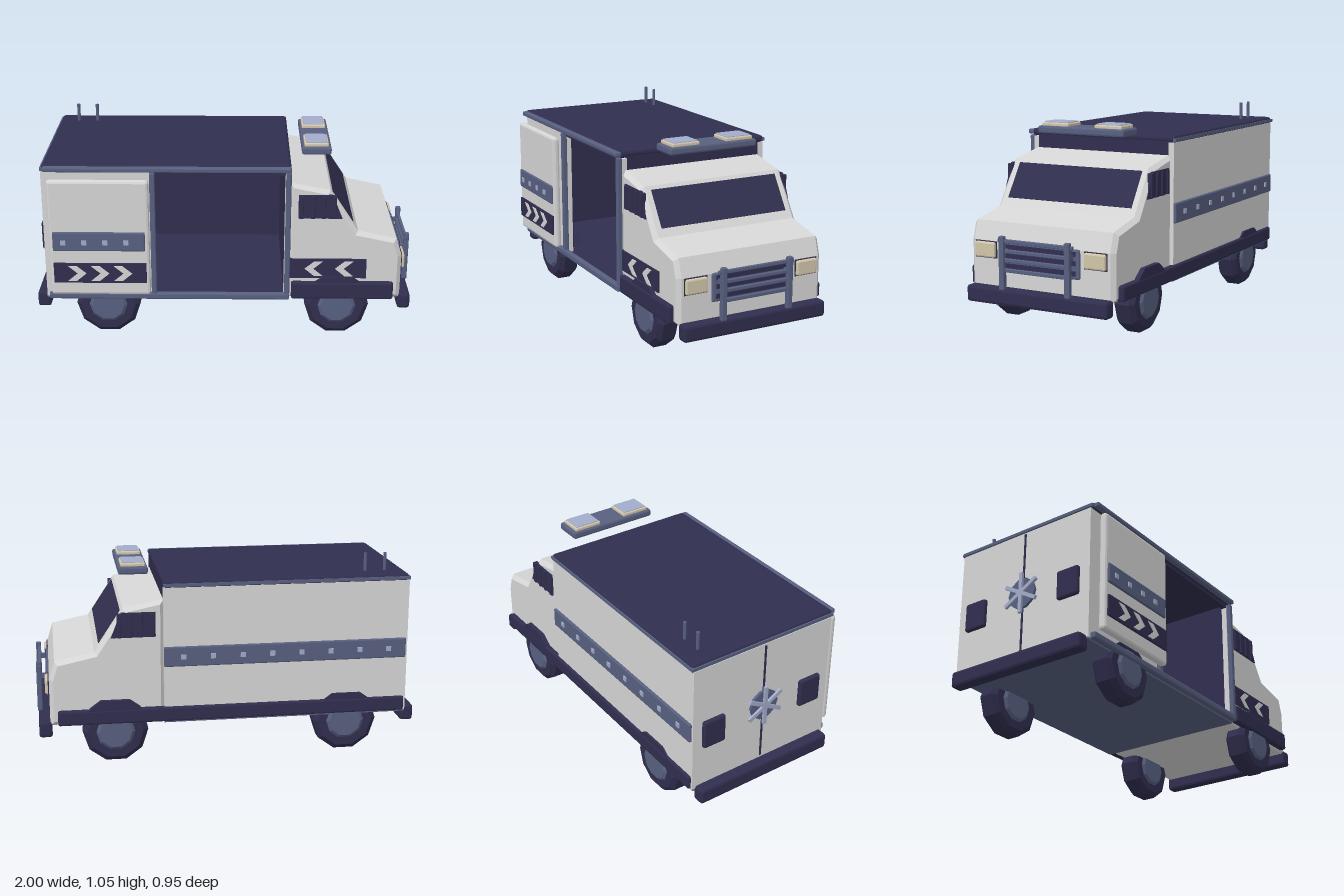
import * as THREE from 'three';
import { RoundedBoxGeometry } from 'three/addons/geometries/RoundedBoxGeometry.js';

const mat = (name, color) => Object.assign(new THREE.MeshStandardMaterial({ color }), { name });

export function createModel() {
  const van = new THREE.Group();
  van.name = 'van';
  const white = mat('white paint', 0xd6d6d6);
  const navy = mat('navy', 0x302e4e);
  const slate = mat('slate', 0x586080);
  const cream = mat('cream lamp', 0xd2c6aa);
  const blue = mat('pale blue glass', 0xa2acca);

  function add(name, geometry, material) {
    const m = new THREE.Mesh(geometry, material);
    m.name = name;
    van.add(m);
    return m;
  }
  // Box given by its extents; c is an optional chamfer
  function box(name, material, x0, x1, y0, y1, z0, z1, c = 0) {
    const s = [x1 - x0, y1 - y0, z1 - z0];
    const g = c ? new RoundedBoxGeometry(...s, 1, c) : new THREE.BoxGeometry(...s);
    if (c) g.computeVertexNormals();
    g.translate((x0 + x1) / 2, (y0 + y1) / 2, (z0 + z1) / 2);
    return add(name, g, material);
  }
  // Side outline in x,y extruded from z0 to z1
  function plate(name, material, pts, z0, z1, bevel = 0) {
    const shape = new THREE.Shape(pts.map(p => new THREE.Vector2(...p)));
    const g = new THREE.ExtrudeGeometry(shape, {
      depth: z1 - z0 - 2 * bevel, bevelEnabled: bevel > 0, bevelSize: bevel,
      bevelThickness: bevel, bevelOffset: -bevel, bevelSegments: 1,
    });
    g.translate(0, 0, z0 + bevel);
    return add(name, g, material);
  }

  // Cargo box: painted walls with a dark lining, open on the left side
  box('farWall', white, -0.945, 0.345, 0.21, 0.92, -0.455, -0.425);
  box('rearWall', white, -0.945, -0.915, 0.21, 0.92, -0.425, 0.36);
  box('nearWall', white, -0.945, -0.36, 0.21, 0.92, 0.36, 0.39);
  box('frontPost', white, 0.315, 0.345, 0.21, 0.915, 0.36, 0.39);
  box('lintel', navy, -0.36, 0.315, 0.9, 0.925, 0.36, 0.39);
  box('frontBulkhead', navy, 0.315, 0.343, 0.21, 0.93, -0.425, 0.36);
  box('cargoFloor', slate, -0.945, 0.345, 0.2, 0.212, -0.45, 0.385);
  box('floorLining', navy, -0.915, 0.315, 0.212, 0.225, -0.425, 0.385);
  box('farLining', navy, -0.915, 0.315, 0.225, 0.92, -0.425, -0.418);
  box('rearLining', navy, -0.915, -0.908, 0.225, 0.92, -0.418, 0.36);
  box('nearLining', navy, -0.908, -0.362, 0.225, 0.92, 0.353, 0.36);
  box('roof', navy, -0.94, 0.345, 0.917, 0.955, -0.46, 0.4, 0.014);
  box('roofEdge', slate, -0.945, 0.345, 0.925, 0.942, -0.466, -0.45);
  box('roofEdge', slate, -0.947, -0.93, 0.925, 0.942, -0.466, 0.4);
  box('slideRail', slate, -0.93, 0.345, 0.925, 0.95, 0.39, 0.425, 0.006);
  box('lowerRail', slate, -0.93, 0.345, 0.205, 0.24, 0.385, 0.418, 0.008);
  for (const x of [-0.385, 0.318]) box('doorJamb', slate, x, x + 0.028, 0.22, 0.92, 0.385, 0.414, 0.006);

  // Slid-back side door with stripe and chevron band
  box('slidingDoor', white, -0.91, -0.387, 0.25, 0.89, 0.418, 0.457, 0.014);
  box('doorStripe', slate, -0.89, -0.41, 0.505, 0.61, 0.45, 0.468, 0.006);
  for (let i = 0; i < 4; i++) {
    const x = -0.835 + i * 0.109;
    box('stripeLamp', blue, x - 0.013, x + 0.013, 0.542, 0.568, 0.463, 0.474);
  }
  box('doorChevronBand', navy, -0.89, -0.405, 0.325, 0.435, 0.45, 0.468);
  box('cabChevronBand', navy, 0.347, 0.75, 0.325, 0.435, 0.375, 0.394);
  function chevron(x, z, d) {
    const pts = [[0, 0.042], [0.045, 0.042], [0.095, 0], [0.045, -0.042], [0, -0.042], [0.05, 0]]
      .map(([a, b]) => [x + a * d, 0.38 + b]);
    plate('chevron', white, pts, z, z + 0.004);
  }
  for (const x of [-0.815, -0.695, -0.575]) chevron(x, 0.468, 1);
  for (const x of [0.52, 0.68]) chevron(x, 0.394, -1);

  // Stripe with lamps on the closed side
  box('sideStripe', slate, -0.935, 0.345, 0.505, 0.61, -0.469, -0.45, 0.006);
  for (let i = 0; i < 8; i++) {
    const x = -0.84 + i * 0.155;
    box('stripeLamp', blue, x - 0.013, x + 0.013, 0.545, 0.571, -0.475, -0.465);
  }

  // Cab
  plate('cab', white, [[0.34, 0.205], [0.935, 0.205], [0.935, 0.45], [0.905, 0.545],
    [0.7, 0.588], [0.55, 0.815], [0.34, 0.855]], -0.442, 0.387, 0.022);
  const screen = add('windscreen', new THREE.BoxGeometry(0.012, 0.204, 0.725), navy);
  screen.position.set(0.616, 0.71, -0.028);
  screen.rotation.z = Math.atan2(0.15, 0.227);
  for (const [z0, z1] of [[0.38, 0.393], [-0.448, -0.435]]) {
    plate('sideWindow', navy, [[0.385, 0.665], [0.615, 0.665], [0.56, 0.795], [0.385, 0.795]], z0, z1);
    for (const x of [0.39, 0.45, 0.505, 0.56])
      box('windowSlat', navy, x, x + 0.022, 0.665, 0.79, z0 - 0.008, z1 + 0.008, 0.004);
  }

  // Skirts and wheel arches
  box('nearSkirt', navy, 0.355, 0.895, 0.21, 0.305, 0.375, 0.415, 0.01);
  box('farSkirt', navy, -0.935, 0.895, 0.21, 0.288, -0.47, -0.43, 0.01);
  function arch(x, top, z0, z1) {
    plate('wheelArch', navy, [[x - 0.17, 0.22], [x + 0.17, 0.22], [x + 0.13, top - 0.04],
      [x + 0.075, top], [x - 0.075, top], [x - 0.13, top - 0.04]], z0, z1);
  }
  arch(0.6, 0.335, 0.36, 0.408);
  arch(0.6, 0.335, -0.468, -0.42);
  arch(-0.62, 0.32, -0.466, -0.32);
  arch(-0.62, 0.32, 0.27, 0.375);

  // Ten-sided wheels with hubs
  const lathe = pts => {
    const g = new THREE.LatheGeometry(pts.map(p => new THREE.Vector2(...p)), 10, Math.PI / 10)
      .rotateX(Math.PI / 2).toNonIndexed();
    g.computeVertexNormals();
    return g;
  };
  const tyre = lathe([[0, -0.058], [0.145, -0.058], [0.171, -0.035], [0.171, 0.035], [0.145, 0.058], [0, 0.058]]);
  const hub = lathe([[0, -0.07], [0.085, -0.07], [0.105, -0.055], [0.105, 0.055], [0.085, 0.07], [0, 0.07]]);
  for (const x of [-0.62, 0.6]) for (const z of [0.335, -0.391]) {
    add('tyre', tyre, navy).position.set(x, 0.163, z);
    add('hub', hub, slate).position.set(x, 0.163, z);
  }

  // Bumpers
  box('frontBumper', navy, 0.925, 0.993, 0.14, 0.225, -0.435, 0.378, 0.014);
  box('rearBumper', navy, -1, -0.93, 0.14, 0.225, -0.435, 0.378, 0.014);

  // Grille, guard and headlights
  box('grille', slate, 0.925, 0.947, 0.305, 0.452, -0.255, 0.2, 0.008);
  for (const y of [0.335, 0.385, 0.43]) box('grilleSlot', navy, 0.945, 0.95, y - 0.012, y + 0.012, -0.235, 0.18);
  for (const y of [0.32, 0.37, 0.415, 0.465]) {
    const w = y > 0.45 ? 0.215 : 0.19;
    box('guardBar', slate, 0.972, 0.988, y - 0.01, y + 0.01, -0.027 - w, -0.027 + w, 0.004);
  }
  for (const z of [0.162, -0.215]) {
    box('guardPost', slate, 0.972, 0.999, 0.22, 0.49, z - 0.015, z + 0.015, 0.005);
    box('guardMount', slate, 0.94, 0.975, 0.4, 0.425, z - 0.01, z + 0.01);
  }
  for (const z of [0.29, -0.343]) {
    box('headlightRim', navy, 0.925, 0.941, 0.362, 0.448, z - 0.063, z + 0.063);
    box('headlight', cream, 0.93, 0.956, 0.366, 0.444, z - 0.059, z + 0.059, 0.008);
  }

  // Roof light bar and aerials
  box('lightBar', slate, 0.405, 0.56, 0.955, 0.995, -0.28, 0.225, 0.01);
  for (const z of [0.127, -0.183]) {
    box('lampBezel', cream, 0.418, 0.546, 0.99, 1.012, z - 0.079, z + 0.079, 0.006);
    box('lampGlass', blue, 0.426, 0.538, 1.0, 1.018, z - 0.07, z + 0.07, 0.004);
  }
  for (const x of [-0.835, -0.73])
    add('aerial', new THREE.CylinderGeometry(0.009, 0.009, 0.11, 8), slate).position.set(x, 0.995, -0.355);

  // Rear doors: seam, small windows, locking wheel
  box('rearSeam', navy, -0.95, -0.94, 0.24, 0.91, -0.033, -0.023);
  for (const z of [-0.335, 0.265])
    box('rearWindow', navy, -0.966, -0.935, 0.455, 0.61, z - 0.065, z + 0.065, 0.01);
  const plateDisc = add('lockPlate', new THREE.CylinderGeometry(0.085, 0.085, 0.015, 10), slate);
  plateDisc.rotation.z = Math.PI / 2;
  plateDisc.position.set(-0.952, 0.565, -0.028);
  for (let i = 0; i < 3; i++) {
    const spoke = add('lockSpoke', new THREE.BoxGeometry(0.014, 0.225, 0.02), blue);
    spoke.position.set(-0.965, 0.565, -0.028);
    spoke.rotation.x = i * Math.PI / 3;
  }
  return van;
}
